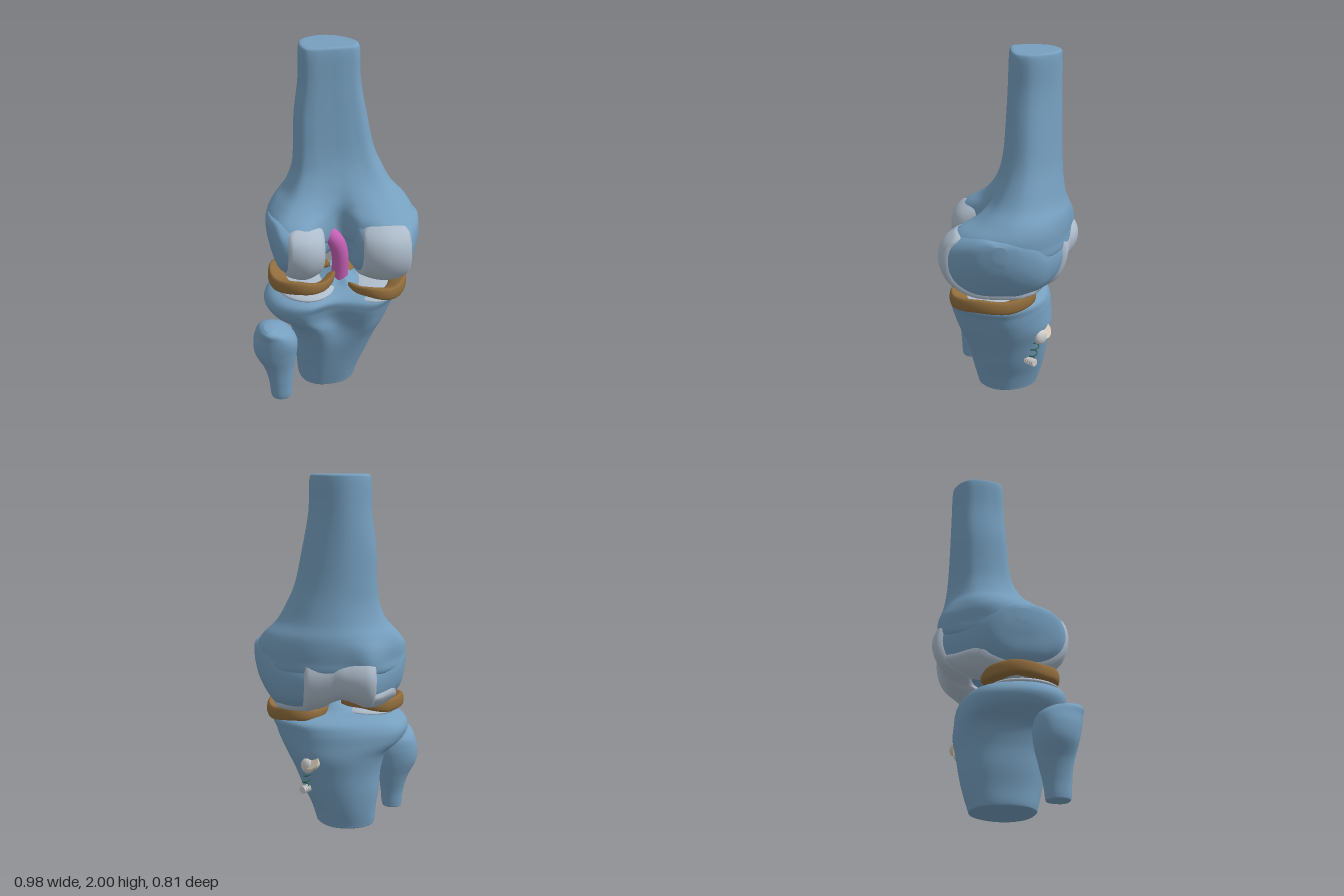
import * as THREE from 'three';

const V = (x, y, z) => new THREE.Vector3(x, y, z);
const mat = (color, side = THREE.FrontSide) => new THREE.MeshStandardMaterial({ color, side });
const BONE = mat(0x769fbf), CARTILAGE = mat(0xaebccb, THREE.DoubleSide), MENISCUS = mat(0x8f6c3c);
const LIGAMENT = mat(0xc45fb4), METAL = mat(0xcccccc), SUTURE = mat(0x2f6b57), WASHER = mat(0xd8cdb8);

function add(parent, name, geometry, material, pos = [0, 0, 0]) {
  const mesh = new THREE.Mesh(geometry, material);
  mesh.name = name;
  mesh.position.set(...pos);
  parent.add(mesh);
  return mesh;
}

// Smooth closed skin through rings that all have the same number of points
function loft(rings, n = 80, sub = 8) {
  const loops = rings.map((r) => {
    const c = new THREE.CatmullRomCurve3(r, true);
    return Array.from({ length: n }, (_, i) => c.getPoint(i / n));
  });
  const rows = (rings.length - 1) * sub + 1;
  const pos = new Array(rows * n), index = [];
  for (let i = 0; i < n; i++) {
    const c = new THREE.CatmullRomCurve3(loops.map((l) => l[i]));
    for (let j = 0; j < rows; j++) pos[j * n + i] = c.getPoint(j / (rows - 1));
  }
  for (let j = 0; j < rows - 1; j++) for (let i = 0; i < n; i++) {
    const a = j * n + i, b = j * n + (i + 1) % n;
    index.push(a, b, a + n, b, b + n, a + n);
  }
  for (const start of [0, (rows - 1) * n]) {
    const mid = V(0, 0, 0);
    for (let i = 0; i < n; i++) mid.addScaledVector(pos[start + i], 1 / n);
    const k = pos.push(mid) - 1;
    for (let i = 0; i < n; i++) {
      const a = start + i, b = start + (i + 1) % n;
      index.push(...(start ? [a, b, k] : [b, a, k]));
    }
  }
  // Turn the faces outward
  let volume = 0;
  for (let t = 0; t < index.length; t += 3)
    volume += pos[index[t]].dot(pos[index[t + 1]].clone().cross(pos[index[t + 2]]));
  if (volume < 0) index.reverse();
  const g = new THREE.BufferGeometry().setFromPoints(pos);
  g.setIndex(index);
  g.computeVertexNormals();
  return g;
}

// Fit a unit outline into a row [y, x0, x1, z0, z1]
const ring = (outline, [y, x0, x1, z0, z1]) =>
  outline.map(([u, v]) => V((x0 + x1) / 2 + u * (x1 - x0) / 2, y, (z0 + z1) / 2 + v * (z1 - z0) / 2));

// Thin layer over part of a loft, sinking into it along a rounded border
function layer(base, n, j0, j1, i0, i1, thick) {
  const p = base.attributes.position, nor = base.attributes.normal, pts = [], index = [];
  const w = i1 - i0 + 1;
  for (let j = j0; j <= j1; j++) for (let i = i0; i <= i1; i++) {
    const k = j * n + i;
    const a = 2 * (j - j0) / (j1 - j0) - 1, b = 2 * (i - i0) / (i1 - i0) - 1;
    const d = thick * Math.max(-0.7, Math.min(1, 4 * (1 - a ** 6 - b ** 8)));
    pts.push(V().fromBufferAttribute(p, k).addScaledVector(V().fromBufferAttribute(nor, k), d));
    if (j < j1 && i < i1) {
      const q = pts.length - 1;
      index.push(q, q + 1, q + w, q + 1, q + w + 1, q + w);
    }
  }
  const g = new THREE.BufferGeometry().setFromPoints(pts);
  g.setIndex(index);
  g.computeVertexNormals();
  return g;
}

// C-shaped wedge, thick on the outside, open toward the given angle
function meniscus(cx, y, cz, rx, rz, open, tilt) {
  const rings = [], steps = 14, gap = 0.36;
  for (let s = 0; s <= steps; s++) {
    const a = open + gap + (s / steps) * (2 * Math.PI - 2 * gap);
    const k = 0.45 + 0.55 * Math.min(1, 4 * Math.min(s, steps - s) / steps);
    const wave = 0.007 * Math.sin(a * 4);
    rings.push([[0.03, 0.036], [0.035, -0.03], [0, -0.036], [-0.06, -0.02], [-0.065, -0.008], [0, 0.03]]
      .map(([r, h]) => {
        const x = Math.cos(a) * (rx + r * k);
        return V(cx + x, y + h * k + tilt * x + wave, cz + Math.sin(a) * (rz + r * k));
      }));
  }
  return loft(rings, 24, 4);
}

export function createModel() {
  const model = new THREE.Group();
  model.name = 'kneeJoint';

  // Femur shaft: a D section that blends into the two-lobed footprint of the condyles
  const femur = new THREE.Group();
  femur.name = 'femur';
  model.add(femur);
  const shaftOutline = [[-1, 0.3], [-0.97, -0.15], [-0.85, -0.55], [-0.5, -0.88], [0, -1], [0.5, -0.77],
    [0.8, -0.35], [0.97, 0.05], [1, 0.4], [0.8, 0.85], [0.45, 0.97], [0.2, 1], [-0.05, 1], [-0.35, 1],
    [-0.65, 0.98], [-0.9, 0.85]];
  const footprint = [[-0.365, 0.07], [-0.348, -0.1], [-0.25, -0.24], [-0.12, -0.372], [0, -0.352], [0.2, -0.3],
    [0.37, -0.19], [0.46, -0.04], [0.472, 0.1], [0.4, 0.28], [0.25, 0.365], [0.125, 0.26], [0.03, 0.1],
    [-0.085, 0.2], [-0.2, 0.3], [-0.32, 0.25]];
  const shaftRows = [ // y, x0, x1, z0, z1, blend
    [2, -0.125, 0.16, -0.262, -0.02, 0], [1.995, -0.14, 0.175, -0.276, -0.006, 0],
    [1.975, -0.147, 0.183, -0.28, 0, 0], [1.8, -0.152, 0.19, -0.284, 0.008, 0],
    [1.6, -0.178, 0.225, -0.287, 0.018, 0], [1.4, -0.186, 0.268, -0.29, 0.035, 0],
    [1.3, -0.2, 0.31, -0.296, 0.058, 0], [1.2, -0.235, 0.355, -0.31, 0.09, 0.08],
    [1.13, -0.285, 0.41, -0.33, 0.11, 0.32], [1.07, -0.32, 0.44, -0.345, 0.12, 0.75],
    [1, -0.34, 0.45, -0.35, 0.12, 1], [0.94, -0.3, 0.4, -0.3, 0.08, 0.85], [0.9, -0.2, 0.3, -0.25, 0.02, 0.4],
  ];
  add(femur, 'femurShaft', loft(shaftRows.map((row) => ring(shaftOutline, row).map((p, i) =>
    p.lerp(V(footprint[i][0], row[0], footprint[i][1]), row[5])))), BONE);

  // Condyles: side outlines swept across x as [x, z0, z1, y0, y1], with the notch between
  const side = [[0, 1], [0.55, 0.97], [0.92, 0.6], [1, 0.1], [0.88, -0.45], [0.5, -0.88],
    [0, -1], [-0.5, -0.95], [-0.88, -0.58], [-1, 0.1], [-0.86, 0.65], [-0.45, 0.95]];
  const slices = [
    [-0.37, 0, 0.08, 0.98, 1.05], [-0.355, -0.09, 0.18, 0.9, 1.08], [-0.32, -0.16, 0.28, 0.79, 1.09],
    [-0.2, -0.29, 0.322, 0.72, 1.09], [-0.11, -0.38, 0.285, 0.735, 1.07], [-0.068, -0.38, 0.16, 0.76, 1.05],
    [0.02, -0.35, 0.105, 0.79, 1.03], [0.08, -0.32, 0.13, 0.77, 1.05], [0.12, -0.31, 0.32, 0.73, 1.07],
    [0.24, -0.28, 0.388, 0.695, 1.09], [0.36, -0.2, 0.365, 0.71, 1.08], [0.42, -0.14, 0.28, 0.78, 1.08],
    [0.465, -0.05, 0.2, 0.87, 1.07], [0.486, 0.04, 0.11, 0.96, 1.05],
  ];
  const N = 96, S = 8;
  const condyles = loft(slices.map(([x, z0, z1, y0, y1]) => side.map(([s, t]) =>
    V(x, (y0 + y1) / 2 + t * (y1 - y0) / 2, (z0 + z1) / 2 + s * (z1 - z0) / 2))), N, S);
  add(femur, 'condyles', condyles, BONE);

  // Cartilage over both condyles and the groove at the back
  add(femur, 'rightCondyleCartilage', layer(condyles, N, 18, 38, 10, 66, 0.014), CARTILAGE);
  add(femur, 'leftCondyleCartilage', layer(condyles, N, 64, 82, 10, 60, 0.014), CARTILAGE);
  add(femur, 'grooveCartilage', layer(condyles, N, 29, 72, 50, 83, 0.018), CARTILAGE);

  // Tibia with its plateau and the raised middle; the front hollow deepens upward
  const tibiaOutline = (y) => {
    const k = THREE.MathUtils.smoothstep(y, 0.25, 0.55);
    return [[-1, 0], [-0.74, -0.75], [-0.1, -1], [0.6, -0.8], [1, -0.1], [0.92, 0.5],
      [0.5, 0.9 + 0.1 * k], [-0.08, 1 - 0.2 * k], [-0.52, 0.93], [-0.9, 0.6]];
  };
  add(model, 'tibia', loft([
    [0, -0.185, 0.125, -0.155, 0.175], [0.004, -0.195, 0.135, -0.167, 0.187], [0.02, -0.2, 0.14, -0.172, 0.192],
    [0.1, -0.206, 0.165, -0.195, 0.212], [0.2, -0.222, 0.21, -0.214, 0.235], [0.33, -0.237, 0.262, -0.23, 0.27],
    [0.43, -0.275, 0.31, -0.245, 0.3], [0.51, -0.375, 0.345, -0.242, 0.32], [0.57, -0.4, 0.365, -0.235, 0.335],
    [0.62, -0.37, 0.384, -0.21, 0.34], [0.648, -0.3, 0.33, -0.15, 0.29], [0.66, -0.13, 0.15, -0.06, 0.2],
    [0.7, -0.04, 0.09, 0, 0.14], [0.725, 0, 0.06, 0.04, 0.1],
  ].map((row) => ring(tibiaOutline(row[0]), row))), BONE);
  for (const [name, c, r] of [['rightPlateauCartilage', [-0.165, 0.655, 0.1], [0.165, 0.032, 0.2]],
    ['leftPlateauCartilage', [0.205, 0.63, 0.12], [0.165, 0.032, 0.225]]])
    add(model, name, new THREE.SphereGeometry(1, 40, 20).scale(...r), CARTILAGE, c);

  // Menisci
  add(model, 'rightMeniscus', meniscus(-0.17, 0.715, 0.07, 0.165, 0.18, 0, 0.03), MENISCUS);
  add(model, 'leftMeniscus', meniscus(0.225, 0.668, 0.105, 0.155, 0.205, Math.PI, -0.03), MENISCUS);

  // Fibula
  const round = Array.from({ length: 10 }, (_, i) => {
    const a = i * Math.PI / 5, q = (t) => Math.sign(t) * Math.abs(t) ** 0.85;
    return [q(Math.cos(a)), q(Math.sin(a))];
  });
  add(model, 'fibula', loft([
    [0, -0.385, -0.295, 0.165, 0.265], [0.004, -0.396, -0.284, 0.153, 0.277], [0.02, -0.4, -0.28, 0.15, 0.282],
    [0.1, -0.408, -0.272, 0.14, 0.287], [0.2, -0.435, -0.258, 0.115, 0.296], [0.3, -0.485, -0.243, 0.09, 0.318],
    [0.38, -0.49, -0.242, 0.085, 0.335], [0.44, -0.475, -0.28, 0.1, 0.342], [0.48, -0.46, -0.345, 0.16, 0.342],
    [0.5, -0.435, -0.39, 0.23, 0.32],
  ].map((row) => ring(round, row))), BONE);

  // Ligament in the notch
  const cord = new THREE.CatmullRomCurve3([V(-0.022, 0.955, 0.1), V(0.008, 0.92, 0.115),
    V(0.032, 0.84, 0.115), V(0.035, 0.68, 0.1)]);
  add(model, 'ligament', new THREE.TubeGeometry(cord, 32, 0.048, 20), LIGAMENT);
  add(model, 'ligamentEnd', new THREE.SphereGeometry(0.048, 20, 14), LIGAMENT, [-0.022, 0.955, 0.1]);

  // Fixation hardware on the tibia; local z points out of the bone
  const fixation = new THREE.Group();
  fixation.name = 'fixation';
  fixation.position.set(0.182, 0.4, -0.16);
  fixation.rotation.y = Math.PI * 0.74;
  model.add(fixation);
  const disc = (r, h) => new THREE.CylinderGeometry(r, r, h, 28).rotateX(Math.PI / 2);
  add(fixation, 'washer', disc(0.048, 0.025), WASHER, [0.015, 0.015, 0.02]).rotation.x = -0.5;
  add(fixation, 'button', new THREE.SphereGeometry(0.044, 24, 16).scale(1, 1, 0.6), METAL, [-0.015, -0.012, 0.028]);
  const coil = Array.from({ length: 49 }, (_, i) => {
    const a = i * Math.PI / 8;
    return V(-0.02 - i * 0.0008 + 0.02 * Math.cos(a), -0.03 - i * 0.0024, 0.002 + 0.02 * Math.sin(a));
  });
  add(fixation, 'suture', new THREE.TubeGeometry(new THREE.CatmullRomCurve3(coil), 120, 0.004, 6), SUTURE);
  add(fixation, 'screw', disc(0.019, 0.09), METAL, [-0.06, -0.165, -0.02]);
  for (let i = 0; i < 5; i++)
    add(fixation, 'screwThread', new THREE.TorusGeometry(0.019, 0.004, 8, 24), METAL, [-0.06, -0.165, -0.04 + i * 0.015]);

  return model;
}
